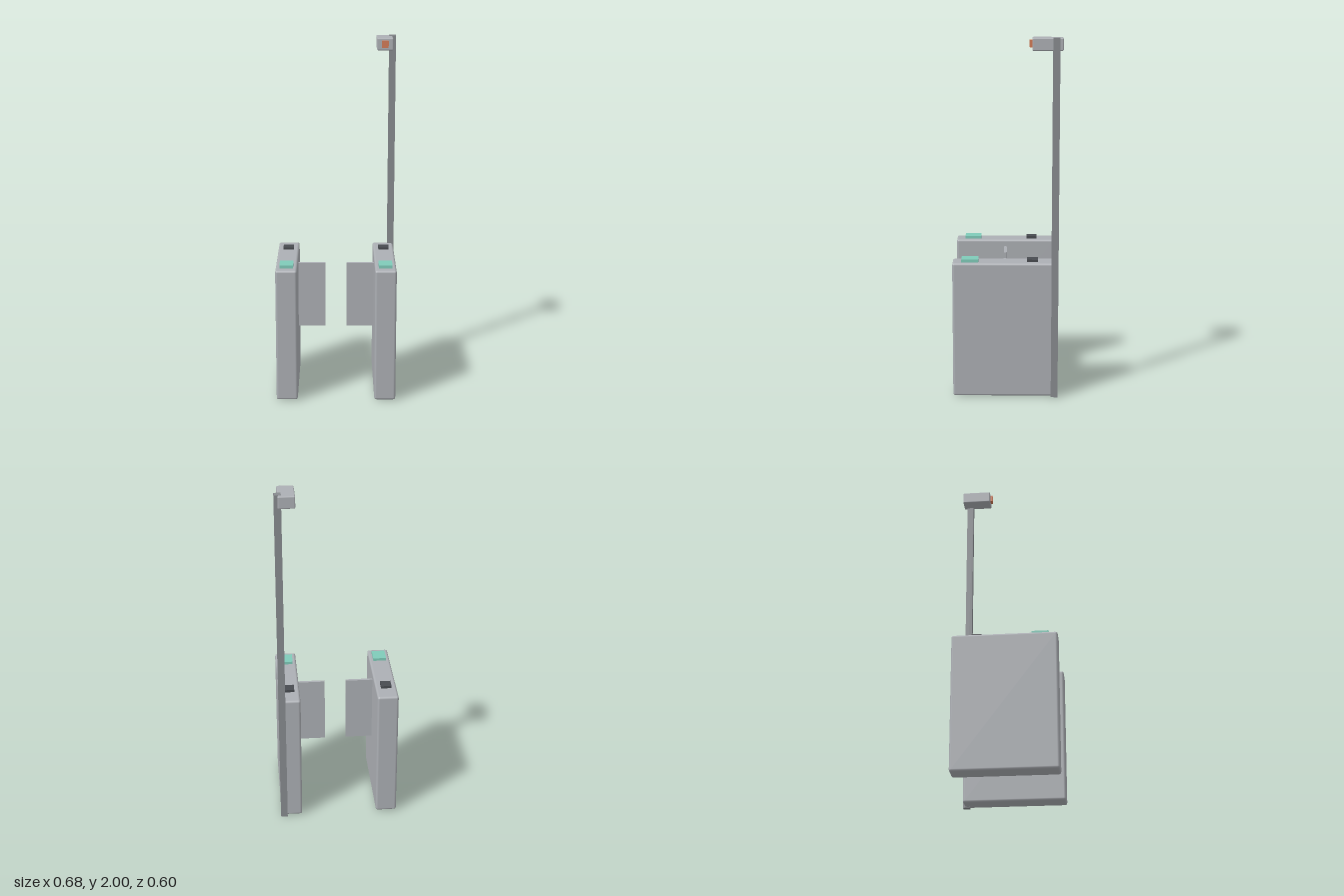
import * as THREE from 'three';
import { RoundedBoxGeometry } from 'three/addons/geometries/RoundedBoxGeometry.js';

const mat = (name, color) => {
  const m = new THREE.MeshStandardMaterial({ color });
  m.name = name;
  return m;
};

export function createModel() {
  const steel = mat('brushed steel', 0xacafb4);
  const postGrey = mat('post grey', 0x888b8f);
  const dark = mat('dark plastic', 0x484b50);
  const mint = mat('mint reader', 0x7fcbb9);
  const orange = mat('orange lens', 0xd27a55);

  const root = new THREE.Group();
  root.name = 'accessGate';

  // Box given by its min and max corners, optionally with rounded edges
  function box(parent, name, material, [x0, y0, z0], [x1, y1, z1], radius = 0) {
    const size = [x1 - x0, y1 - y0, z1 - z0];
    const geo = radius
      ? new RoundedBoxGeometry(...size, 2, radius)
      : new THREE.BoxGeometry(...size);
    const mesh = new THREE.Mesh(geo, material);
    mesh.name = name;
    mesh.position.set((x0 + x1) / 2, (y0 + y1) / 2, (z0 + z1) / 2);
    parent.add(mesh);
  }

  // Two mirrored cabinets, each with a barrier flap, card reader and sensor
  for (const [name, cx, inward] of [['rightCabinet', -0.279, 1], ['leftCabinet', 0.274, -1]]) {
    const g = new THREE.Group();
    g.name = name;
    g.position.x = cx;
    box(g, 'cabinetBody', steel, [-0.06, 0.005, -0.275], [0.06, 0.772, 0.3], 0.013);
    const flap = [inward * 0.05, inward * 0.215].sort((a, b) => a - b);
    box(g, 'barrierFlap', steel, [flap[0], 0.35, 0.004], [flap[1], 0.732, 0.02]);
    box(g, 'cardReader', mint, [-0.038, 0.765, 0.157], [0.038, 0.788, 0.25]);
    box(g, 'sensor', dark, [-0.03, 0.765, -0.172], [0.03, 0.786, -0.112]);
    root.add(g);
  }

  // Camera post behind the left cabinet
  box(root, 'cameraPost', postGrey, [0.3, 0, -0.284], [0.338, 2, -0.246]);

  // Camera with its lens facing forward
  const camera = new THREE.Group();
  camera.name = 'camera';
  box(camera, 'cameraHousing', steel, [0.228, 1.93, -0.302], [0.319, 1.998, -0.136], 0.006);
  box(camera, 'cameraLens', orange, [0.254, 1.947, -0.14], [0.292, 1.985, -0.122]);
  root.add(camera);

  return root;
}
